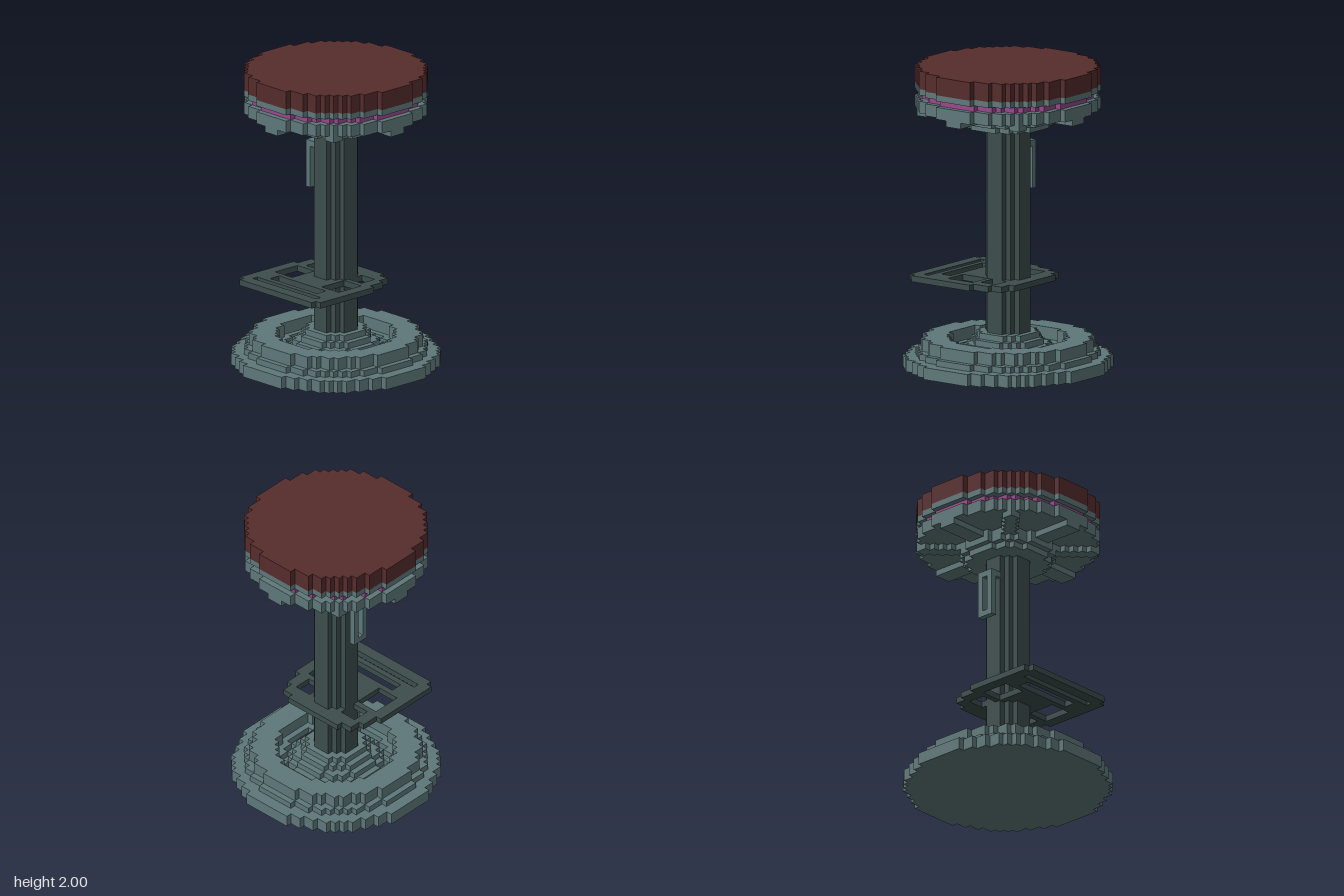
import * as THREE from 'three';

const U = 0.04; // size of one block

const mat = (name, color) => {
  const m = new THREE.MeshStandardMaterial({ color });
  m.name = name;
  return m;
};

// Half width, in whole blocks, of a blocky circle of radius r at row k
const half = (r, k) => Math.floor(Math.sqrt(Math.max(0, r * r - k * k)));

// Stepped outline: row(k) gives the first and last block of each row
function outline(k0, k1, row) {
  const right = [], left = [];
  for (let k = k0; k <= k1; k++) {
    const [a, b] = row(k);
    for (const z of [k - 0.5, k + 0.5]) {
      right.push([b + 0.5, z]);
      left.push([a - 0.5, z]);
    }
  }
  const all = right.concat(left.reverse());
  // drop repeated and collinear points
  const distinct = all.filter((p, i) => {
    const q = all[(i + all.length - 1) % all.length];
    return p[0] !== q[0] || p[1] !== q[1];
  });
  return distinct
    .filter((p, i) => {
      const n = distinct.length, q = distinct[(i + n - 1) % n], s = distinct[(i + 1) % n];
      return !((p[0] === q[0] && p[0] === s[0]) || (p[1] === q[1] && p[1] === s[1]));
    })
    .map(([x, z]) => new THREE.Vector2(x * U, z * U));
}

const circle = (r) => {
  const n = Math.floor(r);
  return outline(-n, n, (k) => [-half(r, k), half(r, k)]);
};
const rect = (i0, i1, k0, k1) => outline(k0, k1, () => [i0, i1]);

export function createModel() {
  const model = new THREE.Group();
  model.name = 'barStool';
  const steel = mat('greySteel', 0x5f787a);
  const dark = mat('darkSteel', 0x3d4d4d);
  const leather = mat('redLeather', 0x562c2c);
  const trim = mat('magentaTrim', 0x98488b);

  // Flat slab with a stepped outline, from layer y0 up to layer y1
  function slab(name, material, points, y0, y1, holes = []) {
    const shape = new THREE.Shape(points);
    holes.forEach((h) => shape.holes.push(new THREE.Path(h)));
    const geo = new THREE.ExtrudeGeometry(shape, { depth: (y1 - y0) * U, bevelEnabled: false });
    geo.rotateX(Math.PI / 2).translate(0, y1 * U, 0);
    const mesh = new THREE.Mesh(geo, material);
    mesh.name = name;
    model.add(mesh);
  }

  // Base: wide foot, raised rim around a moat, stepped hub
  slab('baseFoot', steel, circle(16.5), 0, 2);
  slab('baseStep', steel, circle(14.5), 2, 3, [circle(8.5)]);
  slab('baseRim', steel, circle(13.5), 3, 5, [circle(9.5)]);
  [[7.5, 2, 3], [6.5, 3, 4], [5.5, 4, 5], [4.5, 5, 6]].forEach(([r, a, b]) =>
    slab('baseHub', steel, circle(r), a, b));

  // Post
  slab('post', dark, circle(3.5), 6, 40);

  // Footrest: frame with a rounded back, double front bar and side openings
  const footWidth = (k) => (k > 12 ? 8 : k > 0 ? 9 : k > -3 ? 8 : k > -5 ? 7 : 5);
  slab('footrest', dark, outline(-5, 13, (k) => [-footWidth(k), footWidth(k)]), 14, 15, [
    rect(-7, 7, 11, 11),
    rect(-5, 5, 8, 9),
    rect(-7, -4, 2, 6),
    rect(4, 7, 2, 6),
    rect(-6, -4, -2, 0),
    rect(4, 6, -2, 0),
  ]);

  // Height lever: arm from the post and a slotted hanging handle
  slab('leverArm', steel, rect(-5, -4, -1, 1), 36, 37);
  for (const k of [-1, 1]) slab('leverSide', steel, rect(-5, -5, k, k), 30, 36);
  slab('leverEnd', steel, rect(-5, -5, -1, 1), 29, 30);

  // Hub under the seat
  slab('seatHub', steel, circle(6.5), 40, 41);
  slab('seatHub', steel, circle(7.5), 41, 43);

  // Eight ribs under the seat plate
  slab('seatRib', steel, rect(-14, 14, -1, 1), 42, 43);
  slab('seatRib', steel, rect(-1, 1, -14, 14), 42, 43);
  for (const s of [-1, 1]) {
    slab('diagonalRib', steel, outline(-10, 10, (k) => {
      const h = half(14.5, k);
      return [Math.max(s * k - 1, -h), Math.min(s * k + 1, h)];
    }), 42, 43);
  }

  // Seat: plate, recessed trim, upper plate and cushion
  slab('seatPlate', steel, circle(14.5), 43, 45);
  slab('seatTrim', trim, circle(13.5), 45, 46);
  slab('upperPlate', steel, circle(14.5), 46, 47);
  slab('cushion', leather, circle(14.5), 47, 50);

  return model;
}
